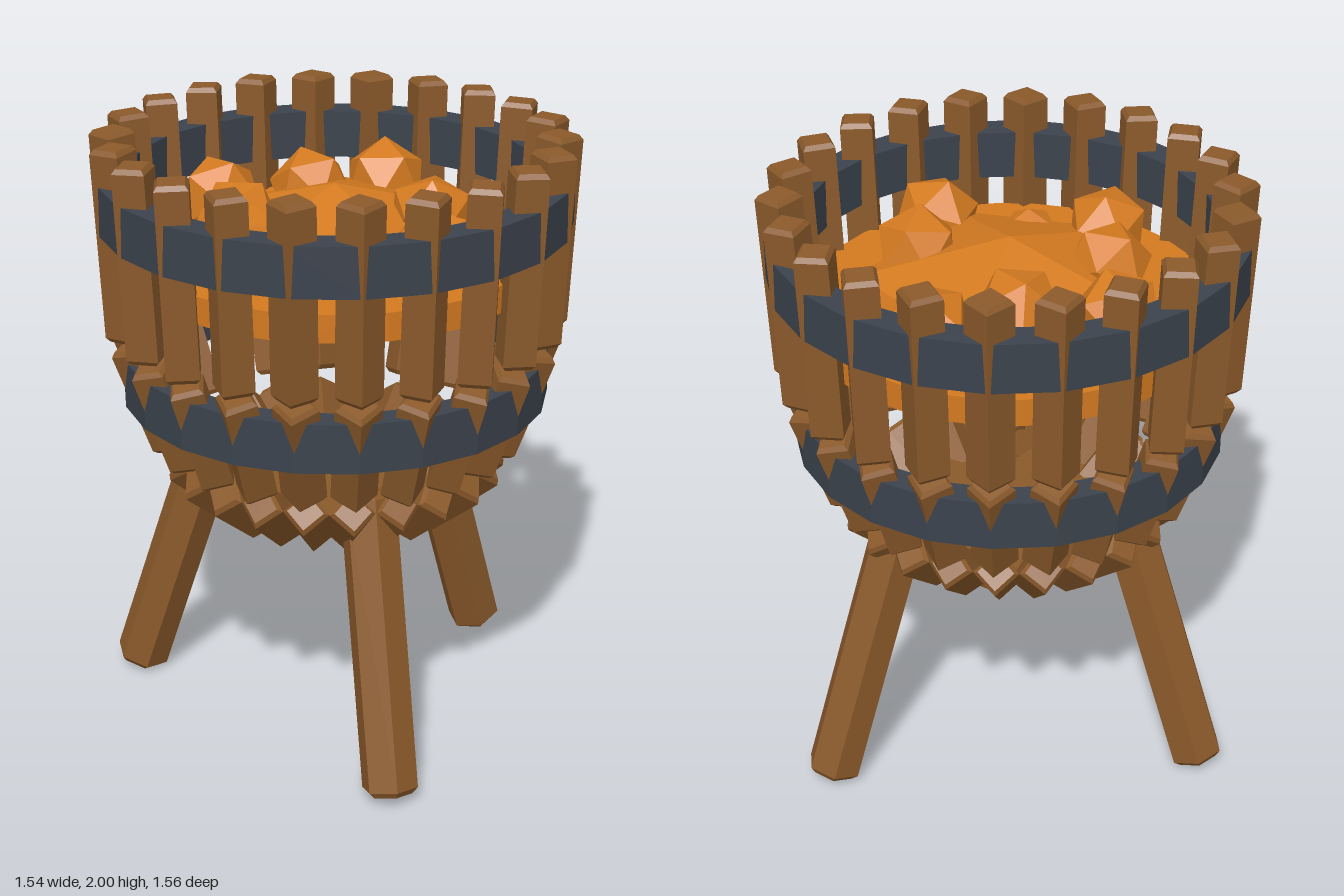
import * as THREE from 'three';

const wood = new THREE.MeshStandardMaterial({ name: 'wood', color: 0x8b5a2b, flatShading: true });
const iron = new THREE.MeshStandardMaterial({ name: 'dark iron', color: 0x3c434d, flatShading: true });
const pulp = new THREE.MeshStandardMaterial({ name: 'orange pulp', color: 0xd47a20, flatShading: true });

const STAVES = 22;

function add(parent, name, geometry, material) {
  const mesh = new THREE.Mesh(geometry, material);
  mesh.name = name;
  parent.add(mesh);
  return mesh;
}

// Lathe with a corner on the +x axis
function lathe(points, sides) {
  return new THREE.LatheGeometry(points.map(([x, y]) => new THREE.Vector2(x, y)), sides, Math.PI / 2);
}

// Bevelled prism leaning in the x-y plane from p to q
function beam(parent, name, p, q, r, sides, bevel) {
  const dx = q[0] - p[0], dy = q[1] - p[1], h = Math.hypot(dx, dy);
  const geometry = lathe([
    [0, 0], [r - bevel, 0], [r, bevel], [r, h - bevel], [r - bevel, h], [0, h],
  ], sides);
  const mesh = add(parent, name, geometry, wood);
  mesh.position.set(p[0], p[1], 0);
  mesh.rotation.z = Math.atan2(-dx, dy);
  return mesh;
}

function hoop(parent, name, y0, y1, inner, outer) {
  add(parent, name, lathe([[inner, y0], [outer, y0], [outer, y1], [inner, y1], [inner, y0]], STAVES), iron);
}

export function createModel() {
  const model = new THREE.Group();
  model.name = 'slattedTub';
  const tub = new THREE.Group();
  tub.name = 'tub';
  tub.position.z = -0.018;
  model.add(tub);

  // Staves: three slats each, stepping inward towards the bottom
  for (let i = 0; i < STAVES; i++) {
    const stave = new THREE.Group();
    stave.name = 'stave';
    stave.rotation.y = (i / STAVES) * Math.PI * 2;
    beam(stave, 'upperSlat', [0.672, 1.37], [0.7, 2.0], 0.073, 4, 0.015);
    beam(stave, 'middleSlat', [0.535, 0.985], [0.665, 1.35], 0.073, 4, 0.015);
    beam(stave, 'lowerSlat', [0.33, 0.775], [0.52, 0.93], 0.073, 4, 0.015);
    tub.add(stave);
  }

  // Hoops and floor
  hoop(tub, 'upperHoop', 1.72, 1.88, 0.655, 0.754);
  hoop(tub, 'lowerHoop', 1.14, 1.3, 0.6, 0.69);
  add(tub, 'floor', new THREE.CylinderGeometry(0.36, 0.36, 0.04, STAVES), wood).position.y = 0.81;

  // Three splayed six-sided legs
  for (const degrees of [-90, 30, 150]) {
    const leg = new THREE.Group();
    leg.name = 'leg';
    leg.rotation.y = THREE.MathUtils.degToRad(degrees);
    beam(leg, 'legPost', [0.712, 0.023], [0.41, 0.95], 0.092, 6, 0.02);
    tub.add(leg);
  }

  // Pulp: flat bed with a squashed faceted mound through it
  add(tub, 'pulpBed', new THREE.CylinderGeometry(0.635, 0.635, 0.09, 32), pulp).position.y = 1.585;
  const moundShape = new THREE.IcosahedronGeometry(0.53, 0);
  moundShape.rotateZ(-Math.atan(2 / (1 + Math.sqrt(5)))); // one corner straight up
  const mound = add(tub, 'pulpMound', moundShape, pulp);
  mound.scale.set(1, 0.42, 0.95);
  mound.position.y = 1.61;

  // Loose chunks: x, y, z, radius
  const chunks = [
    [-0.31, 1.72, -0.3, 0.14], [-0.01, 1.73, -0.28, 0.14], [0.26, 1.72, -0.35, 0.14],
    [-0.31, 1.73, -0.01, 0.14], [-0.33, 1.73, 0.25, 0.135], [-0.09, 1.66, 0.34, 0.1],
    [0.21, 1.72, 0.38, 0.14], [0.28, 1.74, 0.12, 0.14],
  ];
  chunks.forEach(([x, y, z, r], i) => {
    const chunk = add(tub, 'pulpChunk', new THREE.IcosahedronGeometry(r, 0), pulp);
    chunk.position.set(x, y, z);
    chunk.rotation.set(0.4 + i * 0.9, i * 1.7, 0.3 + i * 0.5);
  });

  return model;
}
